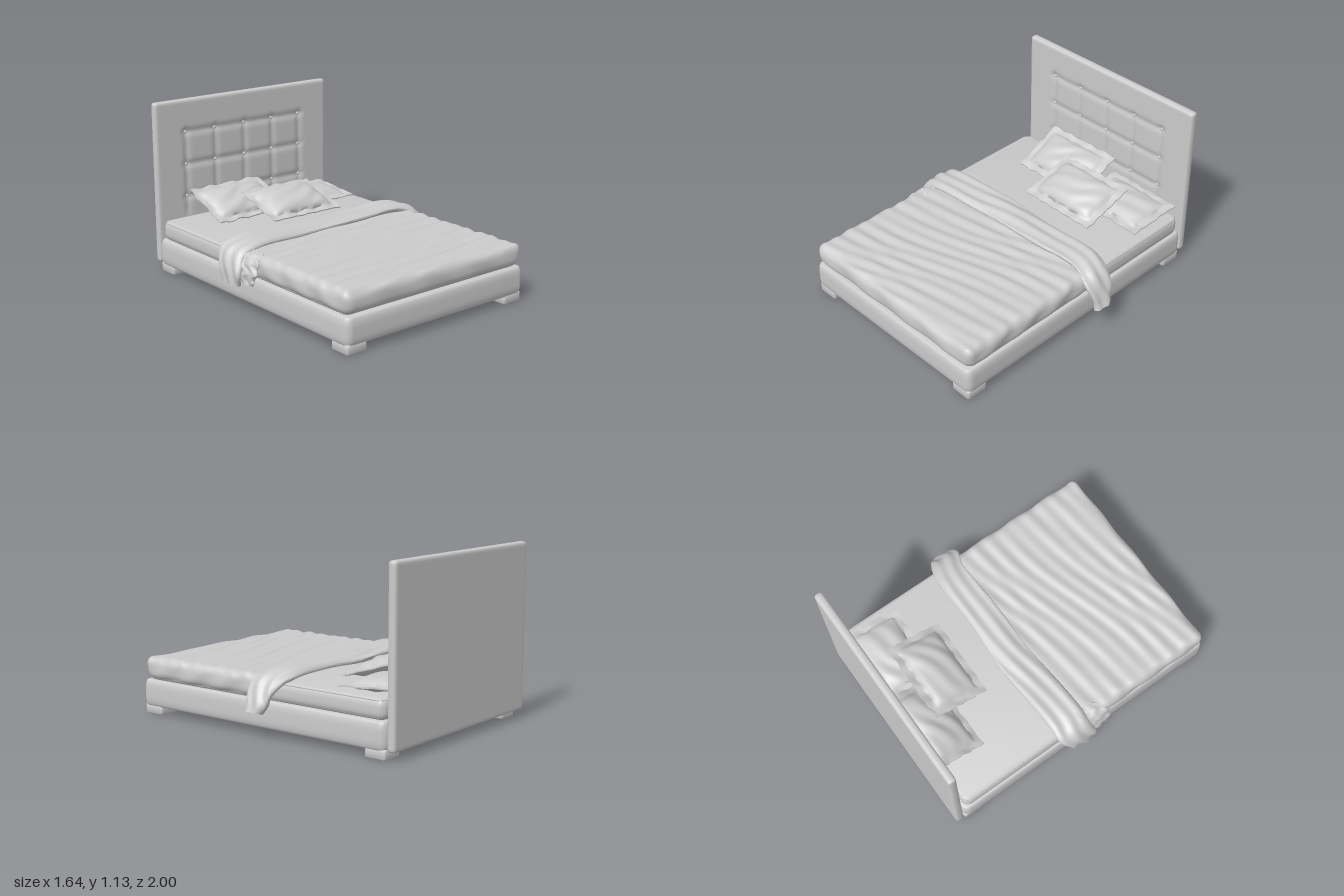
import * as THREE from 'three';
import { mergeVertices, toCreasedNormals } from 'three/addons/utils/BufferGeometryUtils.js';
import { ParametricGeometry } from 'three/addons/geometries/ParametricGeometry.js';

const CX = -0.03; // the bed frame sits slightly off centre
const material = new THREE.MeshStandardMaterial({ color: 0xcccccc, roughness: 0.8 });
const { clamp, smoothstep } = THREE.MathUtils;
const gauss = (d, s) => Math.exp(-(d * d) / (s * s));

function add(parent, name, geometry, x = 0, y = 0, z = 0) {
  const mesh = new THREE.Mesh(geometry, material);
  mesh.name = name;
  mesh.position.set(x, y, z);
  parent.add(mesh);
  return mesh;
}

// Welds a geometry and gives it smooth normals, keeping edges above the angle sharp
function smooth(geometry, angle = 0.9) {
  geometry.deleteAttribute('normal');
  geometry.deleteAttribute('uv');
  return toCreasedNormals(mergeVertices(geometry, 1e-5), angle);
}

function moveVertices(geometry, rule) {
  const p = geometry.attributes.position;
  const v = new THREE.Vector3();
  for (let i = 0; i < p.count; i++) {
    v.fromBufferAttribute(p, i);
    rule(v);
    p.setXYZ(i, v.x, v.y, v.z);
  }
  return geometry;
}

// Rounds a point of a box of the given size
function roundCorner(v, w, h, d, r) {
  const core = new THREE.Vector3(
    clamp(v.x, r - w / 2, w / 2 - r), clamp(v.y, r - h / 2, h / 2 - r), clamp(v.z, r - d / 2, d / 2 - r));
  v.sub(core);
  if (v.lengthSq() > 0) v.setLength(r);
  v.add(core);
}

function roundedRect(w, d, r) {
  const s = new THREE.Shape();
  s.absarc(w / 2 - r, d / 2 - r, r, 0, Math.PI / 2);
  s.absarc(r - w / 2, d / 2 - r, r, Math.PI / 2, Math.PI);
  s.absarc(r - w / 2, r - d / 2, r, Math.PI, Math.PI * 1.5);
  s.absarc(w / 2 - r, r - d / 2, r, Math.PI * 1.5, Math.PI * 2);
  s.closePath();
  return s;
}

// Upholstered slab with bulging sides, standing on y = 0
function slab(w, h, d, bulge, soft, corner) {
  const g = new THREE.ExtrudeGeometry(roundedRect(w - 2 * bulge, d - 2 * bulge, corner), {
    depth: h - 2 * soft, bevelThickness: soft, bevelSize: bulge, bevelSegments: 7, curveSegments: 8 });
  g.translate(0, 0, soft);
  g.rotateX(-Math.PI / 2);
  return smooth(g, 0.7);
}

function buildHeadboard(bed) {
  const w = 1.42, h = 1.08, d = 0.055, y0 = 0.59;
  const columns = [-0.505, -0.27, -0.03, 0.205, 0.44];
  const rows = [0.47, 0.69, 0.91];
  const group = new THREE.Group();
  group.name = 'headboard';
  bed.add(group);

  // Padded panel with sunken seams and button pits on its front
  const tuft = (x, y) => {
    const inX = smoothstep(x, -0.56, -0.5) * (1 - smoothstep(x, 0.435, 0.495));
    const inY = smoothstep(y, 0.3, 0.4) * (1 - smoothstep(y, 0.9, 0.96));
    let depth = 0;
    for (const c of columns) depth = Math.max(depth, 0.009 * gauss(x - c, 0.022) * inY);
    for (const r of rows) depth = Math.max(depth, 0.009 * gauss(y - r, 0.022) * inX);
    for (const c of columns) for (const r of rows) depth += 0.009 * gauss(Math.hypot(x - c, y - r), 0.025);
    return depth;
  };
  const panel = moveVertices(new THREE.BoxGeometry(w, h, d, 120, 90, 4), v => {
    const front = v.z > d / 2 - 1e-4;
    roundCorner(v, w, h, d, 0.018);
    if (front) v.z -= tuft(v.x + CX, v.y + y0);
  });
  add(group, 'headboardPanel', smooth(panel), CX, y0, -0.9725);

  for (const x of columns) for (const y of rows) {
    const button = add(group, 'tuftButton', new THREE.SphereGeometry(0.011, 14, 10), x, y, -0.959);
    button.scale.z = 0.7;
  }
}

function buildDuvet(bed) {
  const w = 1.43, h = 0.147, d = 1.06;
  const g = moveVertices(new THREE.BoxGeometry(w, h, d, 80, 8, 90), v => {
    roundCorner(v, w, h, d, 0.055);
    const top = smoothstep(v.y, 0, h / 2);
    const { x, z } = v;
    // slanting creases, with a gentle wobble along the hem
    v.y += top * (0.004 * Math.sin(z * 62 + x * 13 + 1.5 * Math.sin(x * 5 + z * 3))
      + 0.003 * Math.sin(z * 37 + x * 5 + 2 * Math.sin(x * 3.3 - z * 7)));
    v.x += 0.004 * Math.sin(z * 24 + v.y * 30) * Math.sign(x) * smoothstep(Math.abs(x), 0.6, 0.7);
    v.z += 0.004 * Math.sin(x * 17 + v.y * 25) * smoothstep(z, 0.4, 0.5);
  });
  add(bed, 'duvet', smooth(g), CX, 0.2985, 0.457);
}

// Soft cloth band: an oval section swept along stations of [x, y, z, halfWidth, halfThickness]
function clothBand(stations, ripple) {
  const path = new THREE.CatmullRomCurve3(stations.map(s => new THREE.Vector3(s[0], s[1], s[2])));
  const size = new THREE.CatmullRomCurve3(stations.map(s => new THREE.Vector3(s[3], s[4], 0)));
  const g = new ParametricGeometry((u, v, out) => {
    const t = clamp((v - 0.01) / 0.98, 0, 1);
    const k = v < 0.001 || v > 0.999 ? 0 : 1;
    const a = -2 * Math.PI * u;
    const c = path.getPoint(t), s = size.getPoint(t), tan = path.getTangent(t);
    const len = Math.hypot(tan.x, tan.y) || 1;
    const z = k * s.x * Math.cos(a);
    const sin = Math.sin(a);
    const fold = ripple * Math.sin(z * 70 + t * 9 + 1.5 * Math.sin(t * 14))
      + ripple * 0.5 * Math.sin(z * 35 - t * 23);
    const n = k * (s.y * Math.sign(sin) * Math.abs(sin) ** 0.7 + fold);
    out.set(c.x - n * tan.y / len, c.y + n * tan.x / len, c.z + z + k * 0.008 * Math.sin(t * 25));
  }, 48, 100);
  return smooth(g, 1.1);
}

// Flanged pillow: a thin sheet puffed up inside its border
function pillow(w, d, puff, seed) {
  const flange = 0.045;
  const g = moveVertices(new THREE.BoxGeometry(w, 0.008, d, 48, 1, 36), v => {
    const s = clamp(Math.abs(v.x) / (w / 2 - flange), 0, 1);
    const t = clamp(Math.abs(v.z) / (d / 2 - flange), 0, 1);
    const fill = ((1 - s ** 3) * (1 - t ** 3)) ** 0.55;
    const crease = 0.005 * Math.sin(v.x * 22 + v.z * 48 + seed + Math.sin(v.x * 15 + seed));
    const edge = 1 - Math.min(1, fill * 4);
    const side = Math.sign(v.y);
    const { x, z } = v;
    v.y += side * puff * fill + crease * fill
      + edge * 0.006 * Math.sin(x * 40 + seed) * Math.cos(z * 33 + seed);
    v.x += edge * 0.003 * Math.sin(z * 70 + seed);
    v.z += edge * 0.003 * Math.sin(x * 60 + seed);
  });
  return smooth(g, 1);
}

export function createModel() {
  const bed = new THREE.Group();
  bed.name = 'bed';

  // Feet, base and mattress
  for (const x of [-0.665, 0.605]) for (const z of [0.915, -0.8625]) {
    add(bed, 'foot', slab(0.148, 0.06, 0.15, 0.006, 0.006, 0.012), x, 0, z);
  }
  add(bed, 'base', slab(1.44, 0.172, 1.94, 0.018, 0.06, 0.03), CX, 0.05, 0.03);
  add(bed, 'mattress', slab(1.41, 0.122, 1.89, 0.025, 0.05, 0.03), CX, 0.224, 0.025);

  // Piping around the mattress top
  const loop = roundedRect(1.385, 1.865, 0.04).getSpacedPoints(160).slice(0, -1);
  const piping = new THREE.CatmullRomCurve3(loop.map(p => new THREE.Vector3(p.x, 0, p.y)), true);
  add(bed, 'mattressPiping', new THREE.TubeGeometry(piping, 240, 0.006, 6, true), CX, 0.336, 0.025);

  buildHeadboard(bed);
  buildDuvet(bed);

  // Folded throw across the bed, hanging over both sides
  add(bed, 'throwBlanket', clothBand([
    [-0.795, 0.165, -0.04, 0.08, 0.024],
    [-0.795, 0.26, -0.05, 0.105, 0.025],
    [-0.755, 0.35, -0.075, 0.12, 0.025],
    [-0.65, 0.386, -0.09, 0.122, 0.025],
    [-0.3, 0.386, -0.1, 0.12, 0.025],
    [0, 0.386, -0.11, 0.112, 0.025],
    [0.3, 0.386, -0.11, 0.108, 0.025],
    [0.58, 0.384, -0.105, 0.105, 0.027],
    [0.69, 0.345, -0.09, 0.11, 0.028],
    [0.755, 0.25, -0.065, 0.085, 0.03],
    [0.782, 0.165, -0.05, 0.06, 0.032],
  ], 0.006));

  // Loose fold of the throw slipping down the right side
  add(bed, 'throwFold', clothBand([
    [-0.775, 0.19, 0.07, 0.08, 0.014],
    [-0.772, 0.27, 0.08, 0.11, 0.016],
    [-0.74, 0.345, 0.07, 0.11, 0.014],
    [-0.66, 0.365, 0.05, 0.08, 0.01],
  ], 0.004));

  // Pillows: [x, y, z, width, depth, puff, tilt, turn]
  [
    ['backPillow', -0.205, 0.432, -0.775, 0.56, 0.375, 0.05, 0.42, 0.01],
    ['sidePillow', 0.345, 0.383, -0.745, 0.54, 0.385, 0.045, 0.08, -0.03],
    ['frontPillow', 0.075, 0.425, -0.57, 0.56, 0.4, 0.06, 0.3, -0.01],
  ].forEach(([name, x, y, z, w, d, puff, tilt, turn], i) => {
    add(bed, name, pillow(w, d, puff, i * 2.1), x, y, z).rotation.set(tilt, turn, 0);
  });

  return bed;
}
